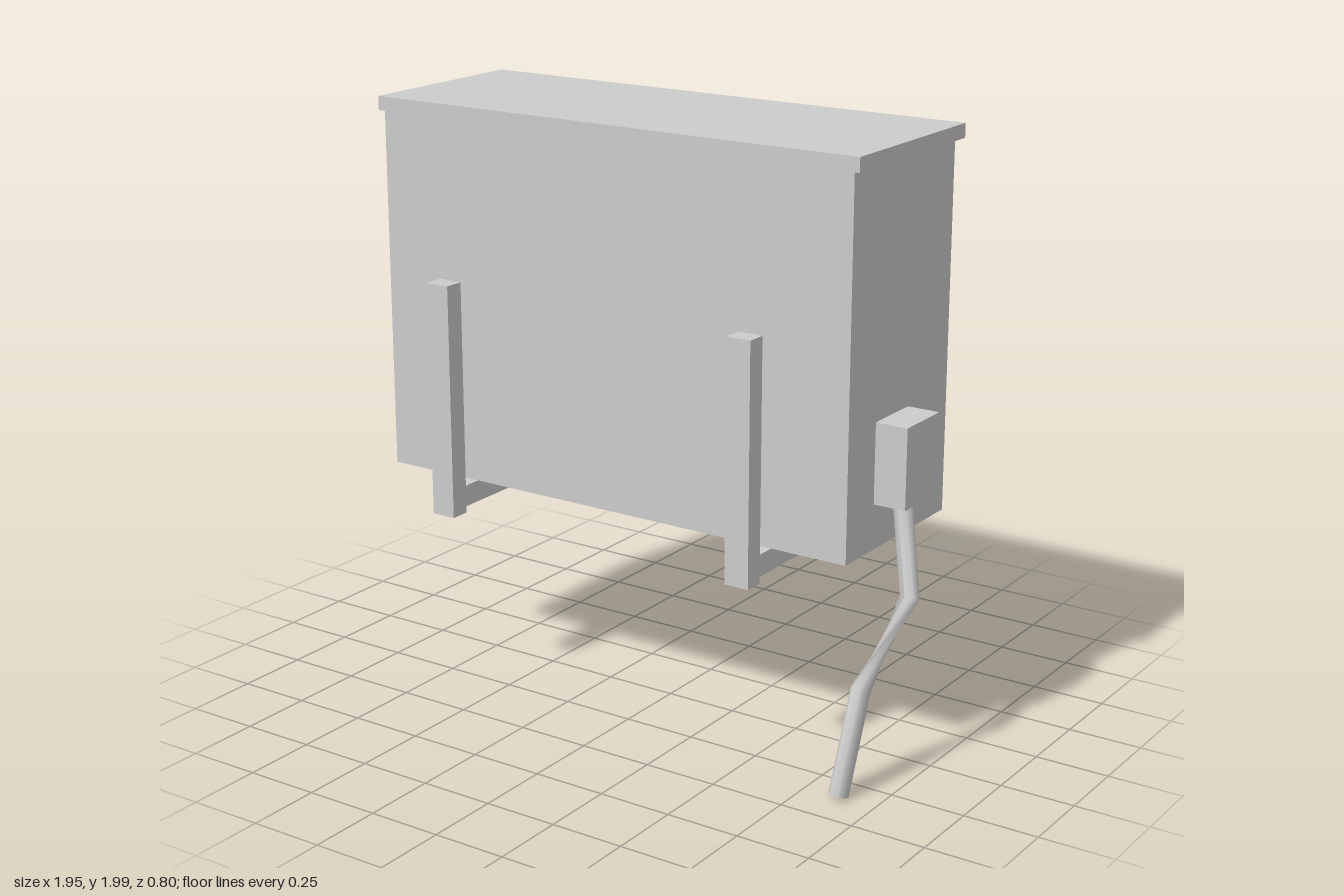
import * as THREE from 'three';

// Polyline with sharp bends; its points are spaced evenly in u
class BentPath extends THREE.Curve {
  constructor(points) { super(); this.points = points; }
  getPoint(t) {
    const n = this.points.length - 1;
    const i = Math.min(Math.floor(t * n + 1e-6), n - 1);
    return this.points[i].clone().lerp(this.points[i + 1], t * n - i);
  }
  getPointAt(u) { return this.getPoint(u); }
  getTangentAt(u) {
    const n = this.points.length - 1, i = Math.round(u * n), t = new THREE.Vector3();
    if (i > 0) t.add(this.points[i].clone().sub(this.points[i - 1]).normalize());
    if (i < n) t.add(this.points[i + 1].clone().sub(this.points[i]).normalize());
    return t.normalize();
  }
}

export function createModel() {
  const model = new THREE.Group();
  model.name = 'outdoorUnit';
  const grey = new THREE.MeshStandardMaterial({ color: 0xcccccc });
  grey.name = 'lightGrey';

  const add = (name, geometry, parent = model) => {
    const mesh = new THREE.Mesh(geometry, grey);
    mesh.name = name;
    parent.add(mesh);
    return mesh;
  };
  // Box given by its extents on each axis
  const box = (name, [x0, x1], [y0, y1], [z0, z1], parent) =>
    add(name, new THREE.BoxGeometry(x1 - x0, y1 - y0, z1 - z0), parent)
      .position.set((x0 + x1) / 2, (y0 + y1) / 2, (z0 + z1) / 2);

  // Cabinet, lid and service panel
  box('cabinet', [-0.953, 0.828], [0.735, 1.955], [-0.35, 0.27]);
  box('lid', [-0.975, 0.848], [1.953, 2], [-0.378, 0.275]);
  box('servicePanel', [0.3, 0.75], [1.02, 1.82], [-0.37, -0.345]);

  // Wall brackets
  for (const x of [-0.642, 0.518]) {
    const bracket = new THREE.Group();
    bracket.name = 'wallBracket';
    model.add(bracket);
    const width = [x - 0.043, x + 0.043];
    box('post', width, [0.64, 1.435], [0.335, 0.403], bracket);
    box('arm', width, [0.662, 0.735], [-0.37, 0.335], bracket);
  }

  // Fan guard on the rear face
  const fan = new THREE.Group();
  fan.name = 'fanGuard';
  fan.position.set(-0.33, 1.355, -0.375);
  model.add(fan);
  add('ring', new THREE.TorusGeometry(0.45, 0.03, 6, 14), fan);
  const hub = add('hub', new THREE.CylinderGeometry(0.105, 0.105, 0.035, 10), fan);
  hub.rotation.x = Math.PI / 2;
  for (const y of [-0.23, 0, 0.23]) {
    const half = y === 0 ? 0.45 : 0.385;
    box('crossBar', [-half, half], [y - 0.014, y + 0.014], [-0.012, 0.012], fan);
  }
  box('uprightBar', [-0.014, 0.014], [-0.44, 0.44], [-0.014, 0.014], fan);

  // Valve cover on the side
  box('valveCover', [0.825, 0.938], [0.885, 1.15], [-0.097, 0.105]);

  // Hose with two bends and a twisted middle length
  const path = new BentPath([
    new THREE.Vector3(0.875, 0.9, 0.01),
    new THREE.Vector3(0.942, 0.59, 0.065),
    new THREE.Vector3(0.89, 0.34, 0.268),
    new THREE.Vector3(0.873, 0.015, 0.36),
  ]);
  const sides = 8;
  const hose = new THREE.TubeGeometry(path, 3, 0.032, sides);
  const pos = hose.attributes.position, v = new THREE.Vector3();
  for (let ring = 2; ring <= 3; ring++) {
    const centre = path.getPointAt(ring / 3), axis = path.getTangentAt(ring / 3);
    for (let j = 0; j <= sides; j++) {
      const k = ring * (sides + 1) + j;
      v.fromBufferAttribute(pos, k).sub(centre).applyAxisAngle(axis, 1.9).add(centre);
      pos.setXYZ(k, v.x, v.y, v.z);
    }
  }
  hose.computeVertexNormals();
  add('hose', hose);
  const end = add('hoseEnd', new THREE.CircleGeometry(0.032, 16));
  end.position.copy(path.getPointAt(1));
  end.lookAt(path.getPointAt(1).add(path.getTangentAt(1)));

  return model;
}
